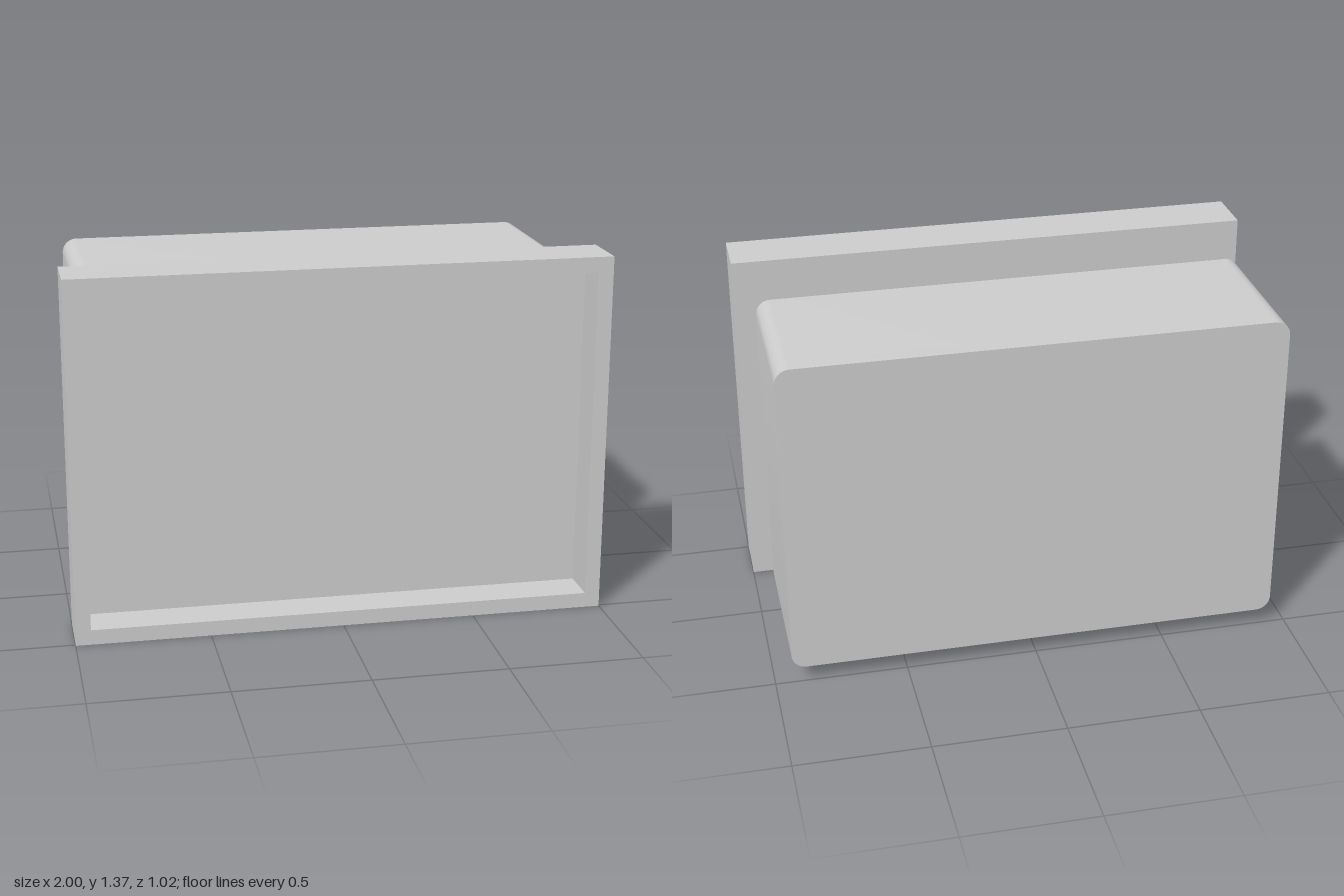
import * as THREE from 'three';
import { toCreasedNormals } from 'three/addons/utils/BufferGeometryUtils.js';

const MID_Y = 0.685; // shared centre height of tray and lid

// Centred rectangle, with rounded corners when r > 0
function rect(Path, w, h, r) {
  const p = new Path();
  const x = w / 2, y = h / 2;
  if (r === 0) {
    p.moveTo(-x, -y).lineTo(x, -y).lineTo(x, y).lineTo(-x, y).closePath();
    return p;
  }
  p.moveTo(-x + r, -y);
  p.absarc(x - r, -y + r, r, -Math.PI / 2, 0);
  p.absarc(x - r, y - r, r, 0, Math.PI / 2);
  p.absarc(-x + r, y - r, r, Math.PI / 2, Math.PI);
  p.absarc(-x + r, -y + r, r, Math.PI, Math.PI * 1.5);
  p.closePath();
  return p;
}

// Open-fronted shell: a back panel plus a surrounding wall
function shell(name, { w, h, r, innerR, wall, back, floor, front }) {
  const material = new THREE.MeshStandardMaterial({ color: 0xcccccc });
  const group = new THREE.Group();
  group.name = name;

  const add = (part, shape, z0, z1) => {
    const geometry = new THREE.ExtrudeGeometry(shape, {
      depth: z1 - z0, bevelEnabled: false, curveSegments: 10,
    });
    const mesh = new THREE.Mesh(toCreasedNormals(geometry, 0.6), material);
    mesh.name = part;
    mesh.position.set(0, MID_Y, z0);
    group.add(mesh);
  };

  add(name + 'Panel', rect(THREE.Shape, w, h, r), back, floor);
  const ring = rect(THREE.Shape, w, h, r);
  ring.holes.push(rect(THREE.Path, w - 2 * wall, h - 2 * wall, innerR));
  add(name + 'Wall', ring, floor, front);
  return group;
}

export function createModel() {
  const model = new THREE.Group();
  model.name = 'boxWithLid';

  // Deep rounded tray, open towards the lid
  model.add(shell('tray', {
    w: 1.87, h: 1.236, r: 0.055, innerR: 0.045, wall: 0.06,
    back: -0.508, floor: -0.45, front: 0.087,
  }));

  // Shallow square-cornered lid, floating ahead of the tray, recess facing front
  model.add(shell('lid', {
    w: 2, h: 1.37, r: 0, innerR: 0, wall: 0.057,
    back: 0.298, floor: 0.357, front: 0.508,
  }));
  return model;
}
